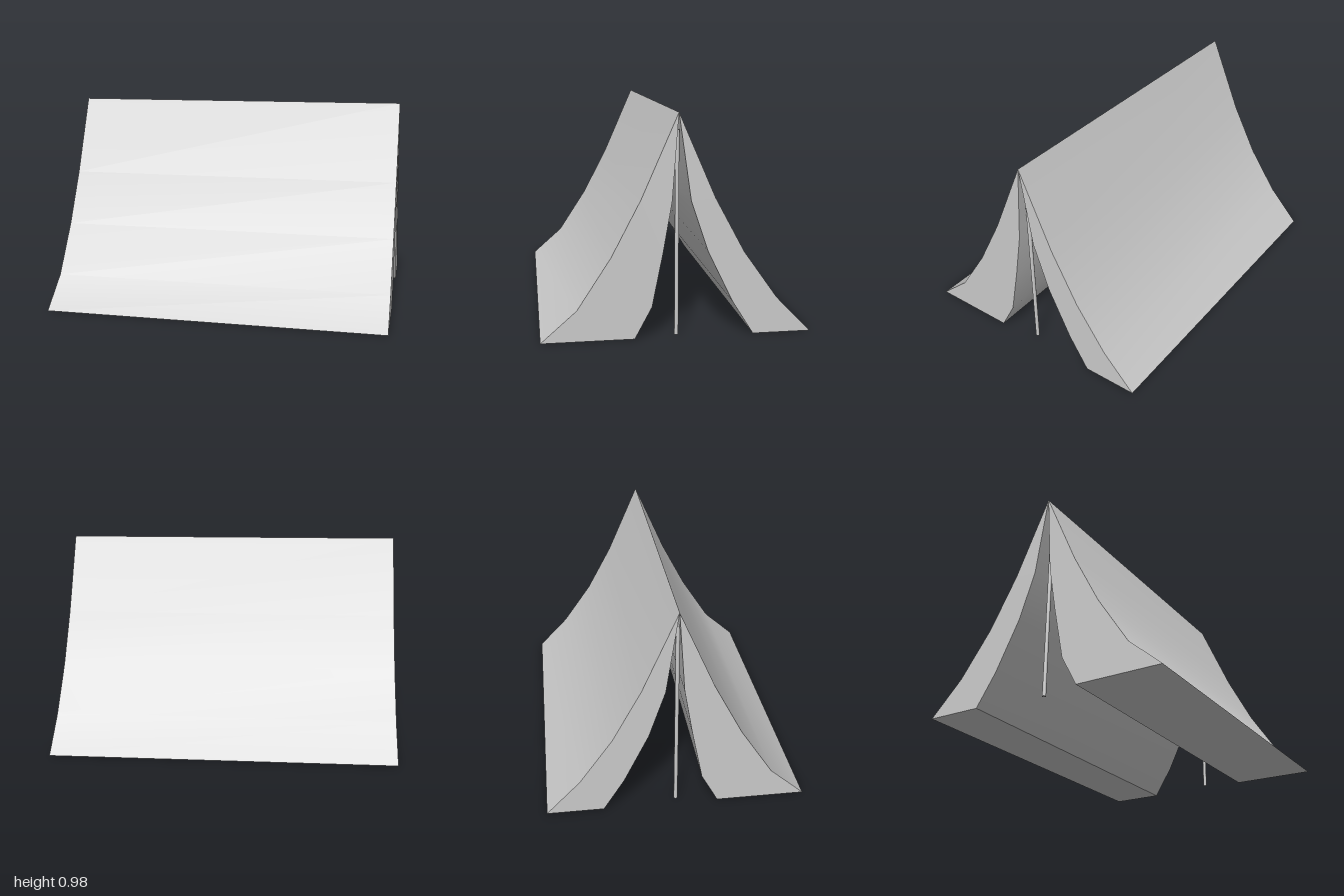
import * as THREE from 'three';
import { toCreasedNormals } from 'three/addons/utils/BufferGeometryUtils.js';

const LENGTH = 1.612;
const RIDGE = 0.975;

export function createModel() {
  const group = new THREE.Group();
  group.name = 'tent';
  const material = new THREE.MeshStandardMaterial({ color: 0xcccccc });

  // One sloping half of the tent: outer curve down, inner curve back up to the ridge
  function addSide(name, outer, inner) {
    const points = [[0, RIDGE], ...outer, ...inner].map(([x, y]) => new THREE.Vector2(x, y));
    const geometry = new THREE.ExtrudeGeometry(new THREE.Shape(points), {
      depth: LENGTH, bevelEnabled: false, steps: 1,
    });
    geometry.translate(0, 0, -LENGTH / 2);
    const mesh = new THREE.Mesh(toCreasedNormals(geometry, 0.6), material);
    mesh.name = name;
    group.add(mesh);
  }

  addSide('leftCanvas',
    [[0.16, 0.61], [0.29, 0.37], [0.439, 0.16], [0.593, 0]],
    [[0.335, 0], [0.241, 0.15], [0.129, 0.38], [0.055, 0.6]]);
  addSide('rightCanvas',
    [[-0.16, 0.61], [-0.288, 0.365], [-0.436, 0.138], [-0.593, 0]],
    [[-0.188, 0], [-0.113, 0.14], [-0.065, 0.38], [-0.027, 0.6]]);

  // Upright poles just inside each end
  for (const [name, side] of [['frontPole', 1], ['backPole', -1]]) {
    const height = 0.9;
    const pole = new THREE.Mesh(new THREE.CylinderGeometry(0.009, 0.009, height, 10), material);
    pole.name = name;
    pole.position.set(0, height / 2, side * 0.766);
    group.add(pole);
  }

  // The tent stands turned on the ground
  group.rotation.y = Math.atan2(0.425, 0.685);
  const model = new THREE.Group();
  model.name = 'turnedTent';
  model.add(group);
  return model;
}
